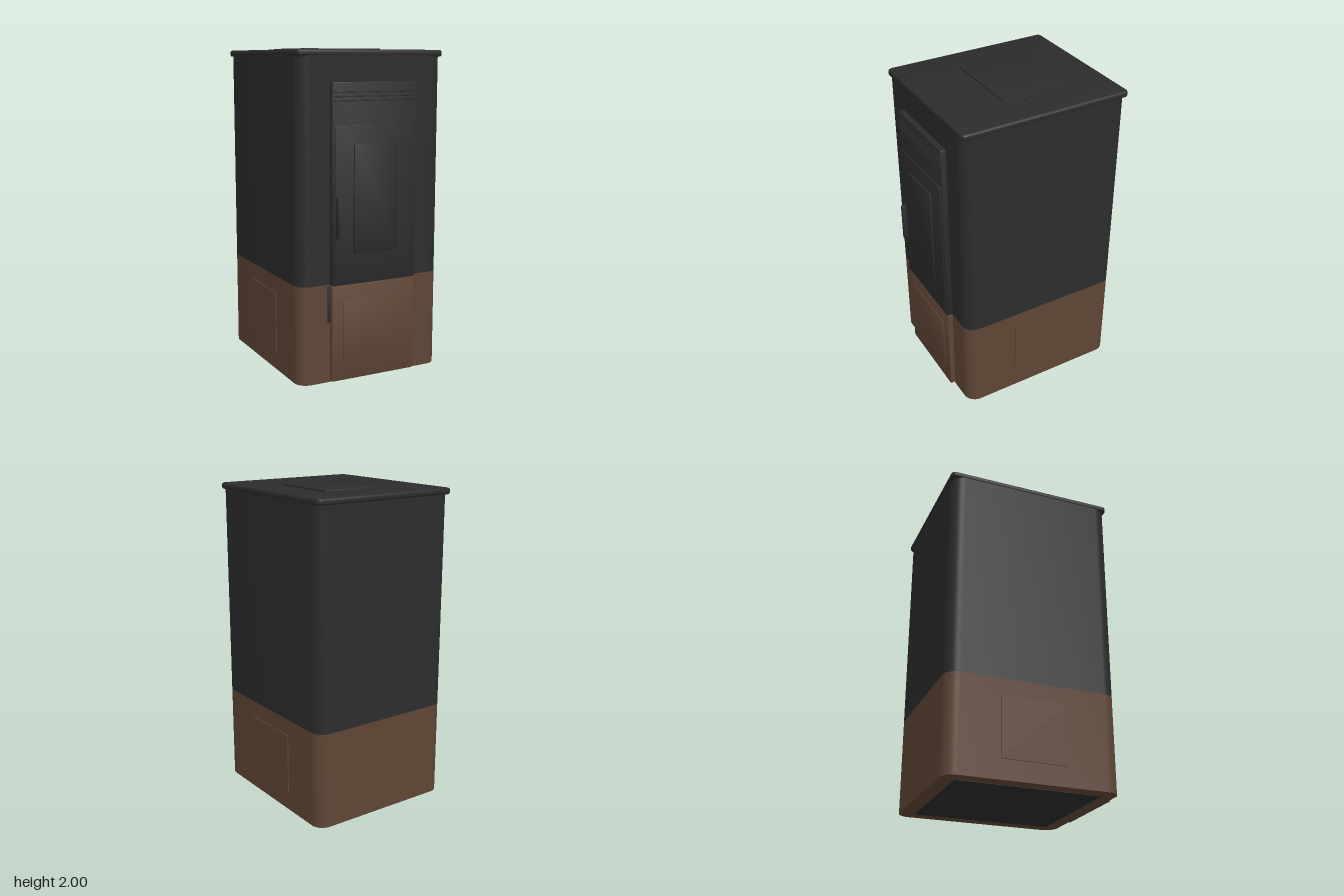
import * as THREE from 'three';
import { toCreasedNormals } from 'three/addons/utils/BufferGeometryUtils.js';

const black = new THREE.MeshStandardMaterial({ color: 0x2c2c2c });
black.name = 'black steel';
const brown = new THREE.MeshStandardMaterial({ color: 0x5f4535 });
brown.name = 'brown steel';

// Rounded rectangle centred on the origin
function roundedRect(w, h, r) {
  const s = new THREE.Shape();
  const x = w / 2, y = h / 2, q = Math.PI / 2;
  s.absarc(x - r, y - r, r, 0, q);
  s.absarc(-x + r, y - r, r, q, 2 * q);
  s.absarc(-x + r, -y + r, r, 2 * q, 3 * q);
  s.absarc(x - r, -y + r, r, 3 * q, 4 * q);
  s.closePath();
  return s;
}

// Extrusion with softened edges, bevel kept inside the given size
function slabGeometry(w, h, depth, r, bevel) {
  const g = new THREE.ExtrudeGeometry(roundedRect(w - 2 * bevel, h - 2 * bevel, Math.max(r - bevel, 0.002)), {
    depth: depth - 2 * bevel,
    bevelEnabled: bevel > 0,
    bevelSize: bevel,
    bevelThickness: bevel,
    bevelSegments: 4,
    curveSegments: 10,
  });
  g.translate(0, 0, bevel);
  return toCreasedNormals(g, 0.6);
}

export function createModel() {
  const stove = new THREE.Group();
  stove.name = 'stove';

  const add = (name, geometry, material) => {
    const mesh = new THREE.Mesh(geometry, material);
    mesh.name = name;
    stove.add(mesh);
    return mesh;
  };
  // Horizontal slab between two heights
  const level = (name, mat, x0, x1, y0, y1, z0, z1, r, bevel = 0) => {
    const g = slabGeometry(x1 - x0, z1 - z0, y1 - y0, r, bevel);
    g.rotateX(-Math.PI / 2);
    g.translate((x0 + x1) / 2, y0, (z0 + z1) / 2);
    return add(name, g, mat);
  };
  // Upright plate facing the front
  const plate = (name, mat, x0, x1, y0, y1, z0, z1, r = 0.006, bevel = 0.003) => {
    const g = slabGeometry(x1 - x0, y1 - y0, z1 - z0, r, bevel);
    g.translate((x0 + x1) / 2, (y0 + y1) / 2, z0);
    return add(name, g, mat);
  };

  // Cabinet
  level('lowerBody', brown, -0.488, 0.488, 0.002, 0.61, -0.573, 0.508, 0.08);
  level('upperBody', black, -0.488, 0.488, 0.61, 1.96, -0.573, 0.508, 0.08);
  level('basePlate', black, -0.4, 0.4, 0, 0.01, -0.48, 0.42, 0.01);

  // Top
  level('topSlab', black, -0.49, 0.49, 1.95, 1.99, -0.58, 0.51, 0.028, 0.014);
  level('topLid', black, -0.27, 0.27, 1.985, 2.0, -0.333, 0.125, 0.005, 0.002);

  // Front panels
  plate('upperFrontPanel', black, -0.285, 0.28, 0.605, 1.805, 0.5, 0.543);
  plate('lowerFrontPanel', brown, -0.285, 0.28, 0.012, 0.603, 0.5, 0.54);
  plate('drawerPlate', brown, -0.21, 0.21, 0.125, 0.505, 0.538, 0.545, 0.004, 0.002);

  // Vent slats above the door
  for (const y of [1.699, 1.723, 1.747]) {
    plate('ventSlat', black, -0.275, 0.27, y - 0.004, y + 0.004, 0.535, 0.55, 0.003, 0.001);
  }

  // Door with window and handle
  plate('door', black, -0.272, 0.265, 0.625, 1.557, 0.535, 0.551);
  plate('window', black, -0.15, 0.145, 0.793, 1.448, 0.545, 0.562, 0.004, 0.002);
  plate('doorHandle', black, -0.267, -0.247, 0.895, 1.145, 0.545, 0.58, 0.005, 0.003);
  plate('airLever', black, -0.302, -0.284, 0.375, 0.603, 0.5, 0.517, 0.004, 0.002);

  // Thin plates on both flanks
  for (const side of [-1, 1]) {
    const g = new THREE.BoxGeometry(0.009, 0.38, 0.41);
    g.translate(side * 0.4895, 0.315, -0.035);
    add(side > 0 ? 'leftSidePlate' : 'rightSidePlate', g, brown);
  }

  return stove;
}
